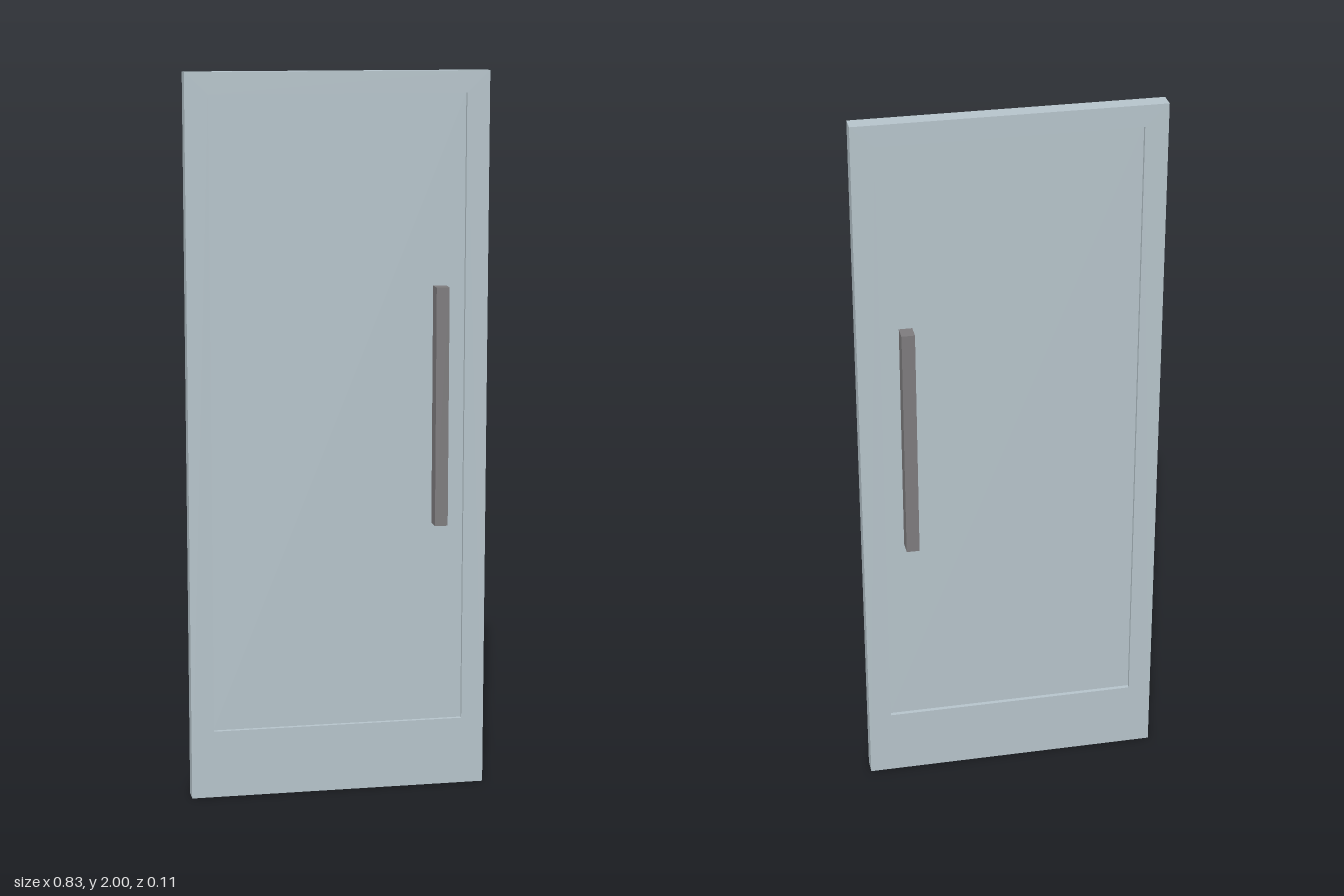
import * as THREE from 'three';

export function createModel() {
  const door = new THREE.Group();
  door.name = 'door';
  const paleGrey = new THREE.MeshStandardMaterial({ color: 0xb5c3ca });
  paleGrey.name = 'pale blue grey';
  const darkGrey = new THREE.MeshStandardMaterial({ color: 0x7d7b7d });
  darkGrey.name = 'dark grey';

  const W = 0.415, T = 0.0235;                       // half width, half thickness
  const panelX = 0.352, panelLow = 0.19, panelHigh = 1.94, panelT = 0.012;

  const add = (name, geometry, material) => {
    const mesh = new THREE.Mesh(geometry, material);
    mesh.name = name;
    door.add(mesh);
    return mesh;
  };

  // Rectangle corners, counter-clockwise
  const rect = (x0, y0, x1, y1) =>
    [[x0, y0], [x1, y0], [x1, y1], [x0, y1]].map(([x, y]) => new THREE.Vector2(x, y));

  // Frame with a rectangular opening, taller at the foot
  const outline = new THREE.Shape(rect(-W, 0, W, 2));
  outline.holes.push(new THREE.Path(rect(-panelX, panelLow, panelX, panelHigh).reverse()));
  const frame = new THREE.ExtrudeGeometry(outline, { depth: 2 * T, bevelEnabled: false });
  frame.translate(0, 0, -T);
  add('frame', frame, paleGrey);

  // Recessed panel
  add('panel', new THREE.BoxGeometry(2 * panelX, panelHigh - panelLow, 2 * panelT), paleGrey)
    .position.y = (panelLow + panelHigh) / 2;

  // Bar handle on each face
  const handleOut = 0.0567;
  const depth = handleOut - panelT;
  for (const [name, side] of [['frontHandle', 1], ['backHandle', -1]]) {
    add(name, new THREE.BoxGeometry(0.036, 0.663, depth), darkGrey)
      .position.set(0.282, 1.087, side * (panelT + depth / 2));
  }
  return door;
}
